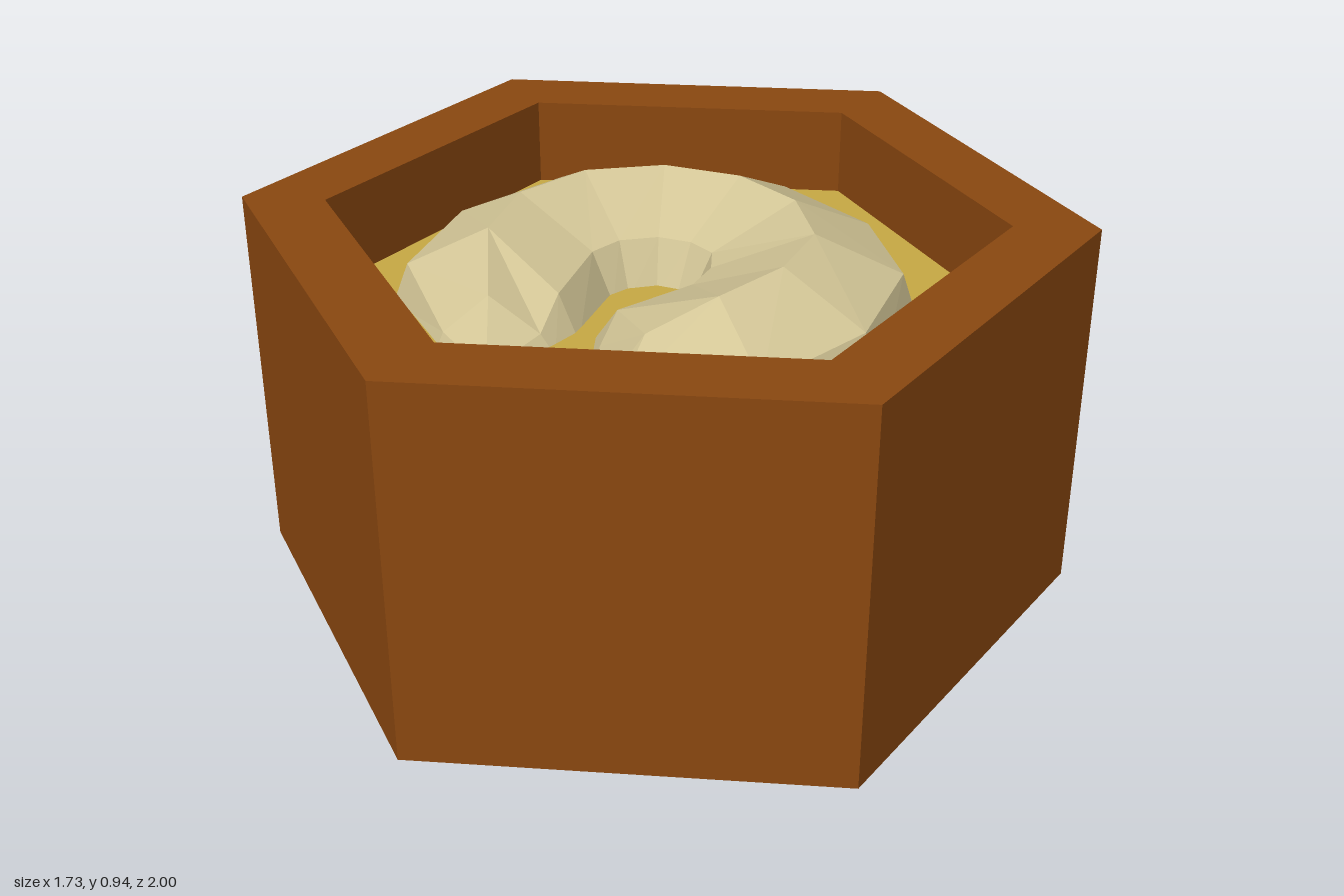
import * as THREE from 'three';

const HEIGHT = 0.94, FLOOR = 0.72;

const material = (name, color) => {
  const m = new THREE.MeshStandardMaterial({ color });
  m.name = name;
  return m;
};

// give every face its own normal
function faceted(geometry) {
  const g = geometry.index ? geometry.toNonIndexed() : geometry;
  g.computeVertexNormals();
  return g;
}

function part(name, geometry, mat) {
  const mesh = new THREE.Mesh(faceted(geometry), mat);
  mesh.name = name;
  return mesh;
}

// larva stations: outer shoulder x z, ridge x z, inner shoulder x z, ridge height
const STATIONS = [
  [-0.27, 0.48, -0.20, 0.40, -0.085, 0.36, 0.83],
  [-0.50, 0.34, -0.33, 0.24, -0.11, 0.26, 0.905],
  [-0.575, 0.055, -0.38, 0.06, -0.165, 0.06, 0.92],
  [-0.50, -0.25, -0.33, -0.13, -0.145, -0.02, 0.925],
  [-0.29, -0.45, -0.19, -0.27, -0.08, -0.09, 0.925],
  [0, -0.53, 0, -0.32, 0, -0.11, 0.925],
  [0.29, -0.45, 0.19, -0.27, 0.075, -0.09, 0.925],
  [0.50, -0.25, 0.33, -0.13, 0.12, -0.02, 0.925],
  [0.575, 0.05, 0.36, 0.05, 0.13, 0.07, 0.92],
  [0.50, 0.35, 0.31, 0.23, 0.05, 0.25, 0.905],
  [0.24, 0.52, 0.21, 0.365, 0.06, 0.33, 0.84],
];

function larvaGeometry() {
  const base = FLOOR - 0.02;
  const sections = STATIONS.map(([ox, oz, rx, rz, ix, iz, y]) => {
    const side = Math.max(y - 0.1, FLOOR + 0.03);
    // the flanks spread a little further where they sink into the bed
    const foot = (x, z, k) => [x + (x - rx) * k, base, z + (z - rz) * k];
    return [foot(ox, oz, 0.2), [ox, side, oz], [rx, y, rz], [ix, side, iz], foot(ix, iz, 0.28)];
  });
  // both ends close to a point
  sections.unshift(Array(5).fill([-0.13, base, 0.5]));
  sections.push(Array(5).fill([0.16, base, 0.52]));

  const index = [];
  for (let s = 0; s < sections.length - 1; s++) {
    for (let r = 0; r < 4; r++) {
      const a = s * 5 + r, b = a + 5;
      index.push(a, a + 1, b, a + 1, b + 1, b);
    }
  }
  const g = new THREE.BufferGeometry();
  g.setAttribute('position', new THREE.Float32BufferAttribute(sections.flat(2), 3));
  g.setIndex(index);
  return g;
}

export function createModel() {
  const wax = material('brown wax', 0x8b4810);
  const honey = material('golden bed', 0xc8aa44);
  const cream = material('cream larva', 0xd2c596);
  cream.side = THREE.DoubleSide;

  const group = new THREE.Group();
  group.name = 'honeycombCell';

  // six-sided cup with a thick rim and closed bottom
  const profile = [[0, 0], [1, 0], [1, HEIGHT], [0.8, HEIGHT], [0.8, FLOOR - 0.005], [0, FLOOR - 0.005]]
    .map(([r, y]) => new THREE.Vector2(r, y));
  group.add(part('cellWall', new THREE.LatheGeometry(profile, 6), wax));

  // thin bed inside the cup
  const bed = new THREE.CylinderGeometry(0.8, 0.8, 0.005, 6);
  bed.translate(0, FLOOR - 0.0025, 0);
  group.add(part('cellFloor', bed, honey));

  // curled larva resting in the bed
  group.add(part('larva', larvaGeometry(), cream));
  return group;
}
